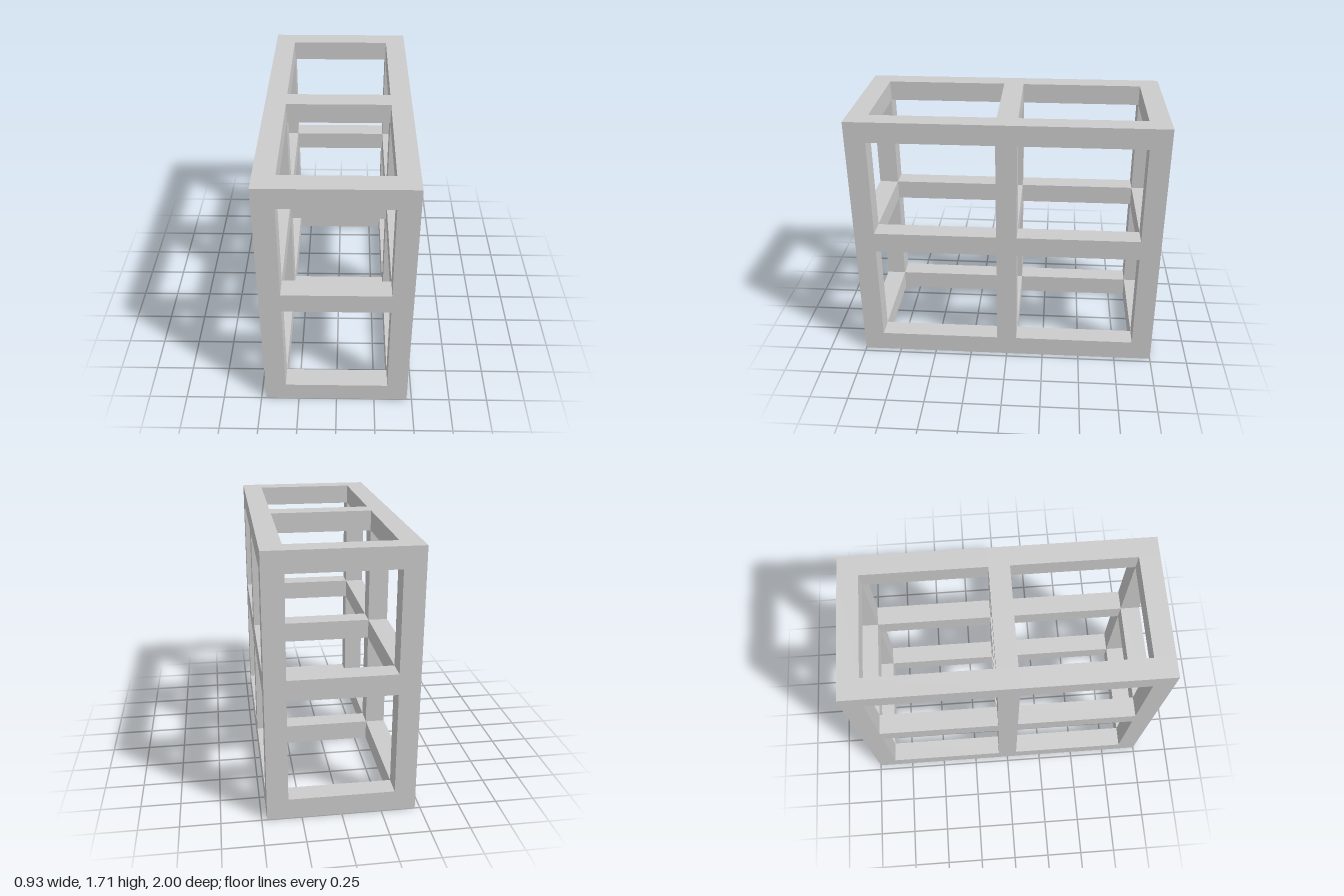
import * as THREE from 'three';

const T = 2 / 15;                       // beam thickness
const W = 7 * T, H = 12.8 * T, D = 2;   // overall size
const material = new THREE.MeshStandardMaterial({ color: 0xcccccc, flatShading: true });

export function createModel() {
  const model = new THREE.Group();
  model.name = 'openFrameRack';

  const beam = (name, sx, sy, sz, x, y, z) => {
    const mesh = new THREE.Mesh(new THREE.BoxGeometry(sx, sy, sz), material);
    mesh.name = name;
    mesh.position.set(x, y, z);
    model.add(mesh);
  };

  const postX = (W - T) / 2;
  const postZ = [-(D - T) / 2, 0, (D - T) / 2];
  const levels = [T / 2, 6.5 * T, H - T / 2];
  const bayLength = (D - 3 * T) / 2;

  // Full-height posts on both long sides
  for (const side of [-1, 1])
    for (const z of postZ) beam('post', T, H, T, side * postX, H / 2, z);

  // Horizontal beams fitted between the posts at each level
  for (const y of levels) {
    for (const z of postZ) beam('crossRail', W - 2 * T, T, T, 0, y, z);
    for (const side of [-1, 1])
      for (const end of [-1, 1])
        beam('sideRail', T, T, bayLength, side * postX, y, end * (bayLength + T) / 2);
  }
  return model;
}
